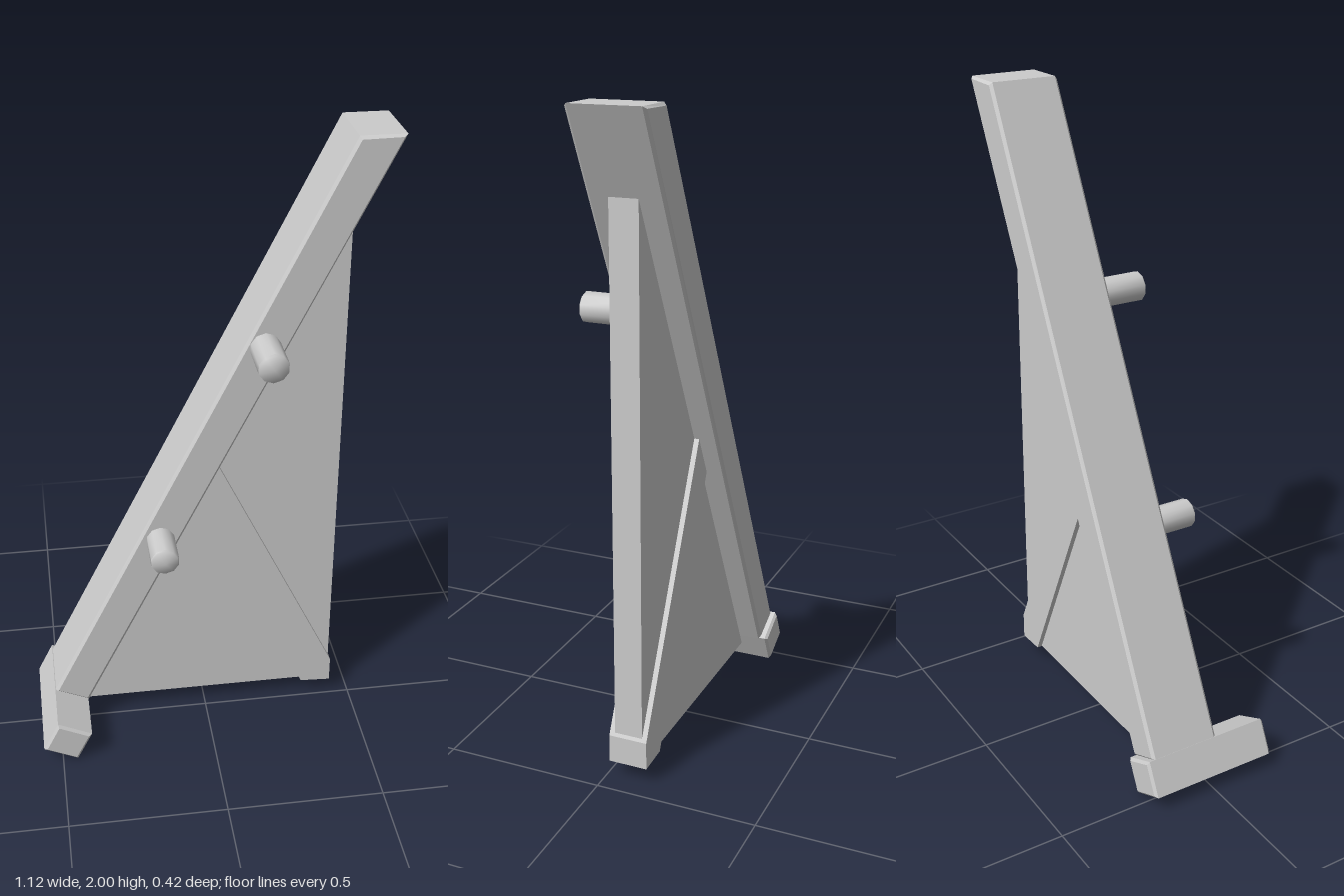
import * as THREE from 'three';
import { toCreasedNormals } from 'three/addons/utils/BufferGeometryUtils.js';

const material = new THREE.MeshStandardMaterial({ color: 0xcccccc });

// A flat outline in x/y given thickness from zBack to zFront, with chamfered rims
function plank(name, outline, zBack, zFront, bevel = 0) {
  const shape = new THREE.Shape(outline.map(([x, y]) => new THREE.Vector2(x, y)));
  const geometry = new THREE.ExtrudeGeometry(shape, {
    depth: zFront - zBack - 2 * bevel,
    bevelEnabled: bevel > 0,
    bevelThickness: bevel,
    bevelSize: bevel,
    bevelOffset: -bevel,
    bevelSegments: 1,
  });
  geometry.translate(0, 0, zBack + bevel);
  const mesh = new THREE.Mesh(geometry, material);
  mesh.name = name;
  return mesh;
}

// A round peg pointing to the front, with a blunt conical tip
function peg(name, x, y, zTip, radius) {
  const zBase = -0.02;
  const length = zTip - zBase;
  const profile = [
    [0, 0], [radius, 0], [radius, length - 0.016], [radius * 0.9, length - 0.012], [0, length],
  ].map(([r, h]) => new THREE.Vector2(r, h));
  const geometry = toCreasedNormals(new THREE.LatheGeometry(profile, 10), 0.8);
  geometry.rotateX(Math.PI / 2);
  const mesh = new THREE.Mesh(geometry, material);
  mesh.position.set(x, y, zBase);
  mesh.name = name;
  return mesh;
}

export function createModel() {
  const group = new THREE.Group();
  group.name = 'leaningSupport';

  // Leaning main beam, cut level at the top
  group.add(plank('mainBeam',
    [[-0.51, 0.15], [-0.4, 0.1], [0.555, 2], [0.42, 2]], -0.192, 0.037, 0.009));

  // Crosswise foot under the beam
  group.add(plank('foot',
    [[-0.56, 0.055], [-0.452, 0.003], [-0.402, 0.102], [-0.51, 0.155]], -0.213, 0.211, 0.008));

  // Thin triangular web behind the beam
  group.add(plank('webPanel',
    [[-0.42, 0.06], [0.43, 0.06], [0.43, 1.755], [0.4, 1.72]], -0.115, -0.027));

  // Diagonal brace from the lower corner up to the beam
  group.add(plank('diagonalBrace',
    [[0.335, 0.058], [0.435, 0.053], [0.435, 0.14], [0.035, 0.97], [-0.03, 0.845]], -0.131, -0.01));

  // Pegs on the front face
  group.add(peg('upperPeg', 0.172, 1.38, 0.188, 0.047));
  group.add(peg('lowerPeg', -0.148, 0.73, 0.174, 0.045));

  return group;
}
